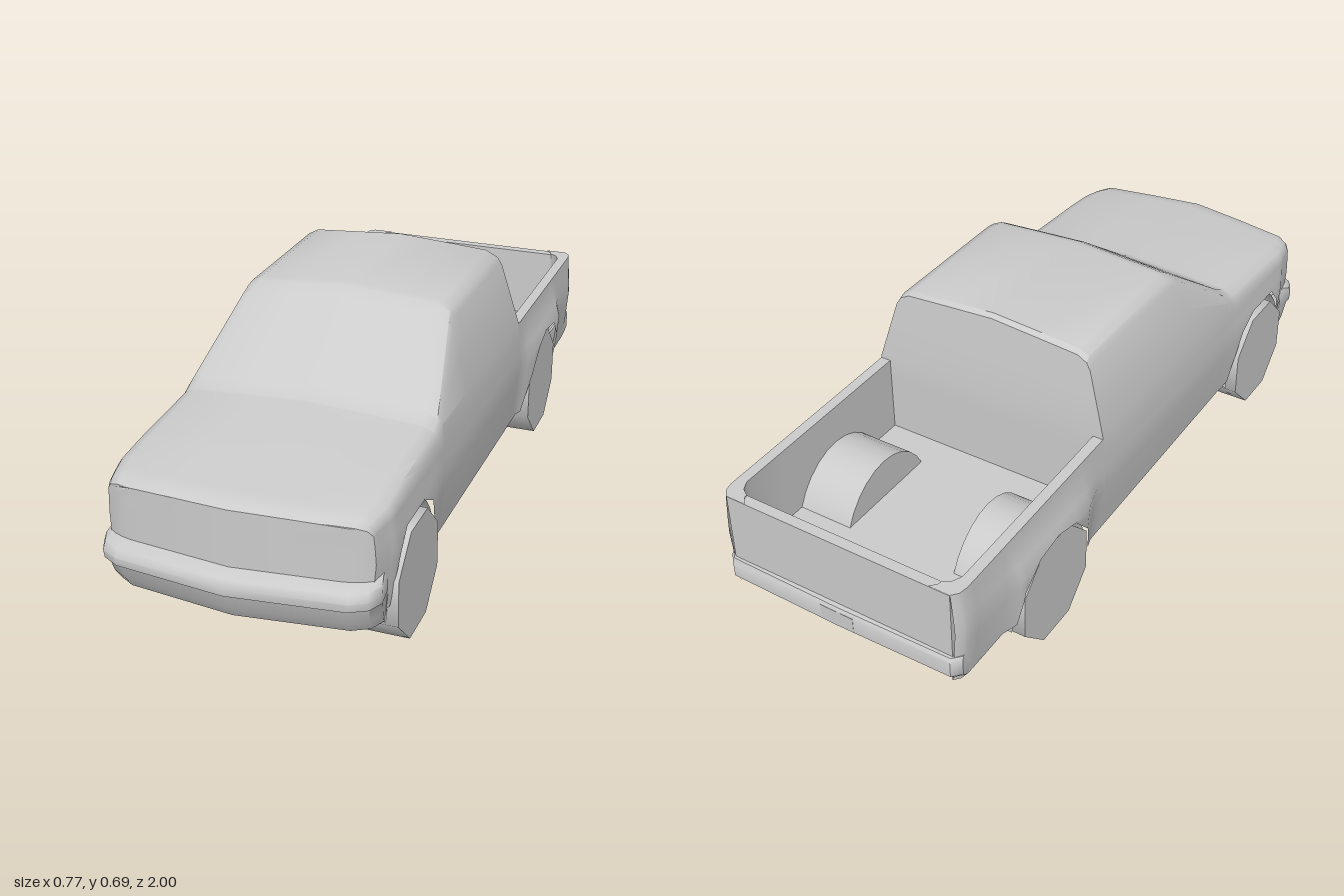
import * as THREE from 'three';
import { toCreasedNormals, mergeVertices } from 'three/addons/utils/BufferGeometryUtils.js';

const material = new THREE.MeshStandardMaterial({ color: 0xcccccc, side: THREE.DoubleSide });

// piecewise linear lookup in a list of [key, value] with rising keys
function lerpTable(table, k) {
  if (k <= table[0][0]) return table[0][1];
  for (let i = 1; i < table.length; i++) {
    const [k0, v0] = table[i - 1], [k1, v1] = table[i];
    if (k <= k1) return v0 + (v1 - v0) * (k - k0) / (k1 - k0);
  }
  return table[table.length - 1][1];
}

// skin through rows of equally many [x, y, z] points
function loft(rows, crease = 0.6) {
  const n = rows[0].length, index = [];
  for (let j = 0; j < rows.length - 1; j++) {
    for (let i = 0; i < n - 1; i++) {
      const a = j * n + i, b = a + 1, c = a + n, d = c + 1;
      index.push(a, c, b, b, c, d);
    }
  }
  const g = new THREE.BufferGeometry();
  g.setAttribute('position', new THREE.Float32BufferAttribute(rows.flat(2), 3));
  g.setIndex(index);
  return toCreasedNormals(mergeVertices(g), crease);
}

const mirror = half => [...half, ...half.slice(0, -1).reverse().map(([x, y, z]) => [-x, y, z])];

// lower edge of the sides, with both wheel arches
const LOWER = [[-0.98, 0.15], [-0.745, 0.15], [-0.725, 0.25], [-0.66, 0.315], [-0.57, 0.325], [-0.49, 0.305],
  [-0.42, 0.23], [-0.38, 0.125], [0.475, 0.138], [0.49, 0.2], [0.53, 0.295], [0.6, 0.333],
  [0.73, 0.332], [0.79, 0.28], [0.82, 0.22], [0.838, 0.15], [0.86, 0.15], [0.88, 0.22], [0.96, 0.22]];
// centre line of roof, windscreen and hood
const UPPER = [[-0.285, 0.682], [-0.273, 0.692], [0.14, 0.692], [0.165, 0.687], [0.195, 0.669], [0.43, 0.503],
  [0.465, 0.484], [0.7, 0.462], [0.9, 0.439], [0.94, 0.433], [0.955, 0.422]];
const WIDTH = [[0.13, 0.348], [0.22, 0.358], [0.31, 0.365], [0.35, 0.363], [0.45, 0.355], [0.64, 0.3]];
const FLARE = [[-0.79, 0], [-0.73, 0.019], [-0.42, 0.019], [-0.35, 0], [0.42, 0], [0.5, 0.004], [0.8, 0.004], [0.86, 0]];
const FLARE_FADE = [[0.32, 1], [0.38, 0]];
const NOSE = [[0, 0], [0.29, 0.033], [0.33, 0.05], [0.37, 0.08]];
const LEVELS = [0, 0.17, 0.22, 0.27, 0.31, 0.35, 0.39, 0.45, 0.55, 0.64];
const FLOOR = 0.215, RIM = 0.442, FRONT = 0.955;

const sideX = (y, z) => lerpTable(WIDTH, y) + lerpTable(FLARE, z) * lerpTable(FLARE_FADE, y);
const clamp = THREE.MathUtils.clamp;

function stations(from, to, ...tables) {
  const all = [from, to, ...tables.flat().map(p => p[0])].filter(z => z <= from && z >= to);
  return [...new Set(all)].sort((a, b) => b - a);
}

// half section of hood and cab, from sill up to the centre line
function cabSection(z) {
  const low = lerpTable(LOWER, z), top = lerpTable(UPPER, z);
  const edge = top - lerpTable([[0.5, 0.018], [0.9, 0.01]], z);
  const shoulder = edge - lerpTable([[0.5, 0.035], [0.9, 0.025]], z);
  const pts = LEVELS.map(l => {
    const y = clamp(l, low, shoulder);
    return [sideX(y, z), y];
  });
  const w = sideX(shoulder, z);
  pts.push([w, shoulder], [w - 0.012, (shoulder + edge) / 2 + 0.003], [w - 0.04, edge], [w * 0.45, (edge + top) / 2], [0, top]);
  const taper = 1 - 0.05 * clamp((z - 0.84) / 0.115, 0, 1);
  return pts.map(([x, y]) => {
    const nose = lerpTable(NOSE, x * taper) * clamp((z - 0.75) / 0.205, 0, 1);
    const rear = z < -0.28 ? 0.025 * clamp((0.692 - y) / 0.242, 0, 1) : 0;
    return [x * taper, y, z - nose - rear];
  });
}

// half section of the bed: outer side, rim, inner side, floor
function bedSection(z) {
  const low = lerpTable(LOWER, z);
  const taper = lerpTable([[-0.982, 0.02], [-0.965, 0.005], [-0.94, 0]], z);
  const pts = LEVELS.filter(l => l < 0.44).concat(RIM).map(l => {
    const y = clamp(l, low, RIM - 0.008 * clamp((-z - 0.31) / 0.65, 0, 1));
    return [sideX(y, z) - taper, y, z];
  });
  const [w, y] = pts[pts.length - 1];
  const inner = w - lerpTable([[-0.953, 0.06], [-0.94, 0.042], [-0.915, 0.03]], z);
  pts.push([inner, y, z], [inner, FLOOR, z], [0, FLOOR, z]);
  return pts;
}

// grille wall following the curved nose
function noseWall(half) {
  const steps = [1, 0.95, 0.88, 0.8, 0.4, 0];
  return loft(half.map(([x, y]) => mirror(steps.map(t => [x * t, y, FRONT - lerpTable(NOSE, x * t)]))));
}

// wall closing the back of the cab down to the bed floor
function backWall(half) {
  return loft(half.map(([x, y, z]) => [-x, 0, x].map(px => [px, Math.max(y, FLOOR), z])));
}

// bumper: plan path of [x, z] swept over levels of [y, inset]; the ends keep their z
function bumper(path, levels, dir) {
  const rows = levels.map(([y, inset]) => {
    const row = mirror(path.map(([x, z]) =>
      [x * (1 - inset * 0.7), y, dir * (z - inset * clamp((z - 0.76) / 0.14, 0, 1))]));
    return dir > 0 ? row : row.reverse();
  });
  return loft(rows, 0.7);
}

export function createModel() {
  const model = new THREE.Group();
  const add = (name, geometry, x = 0, y = 0, z = 0, parent = model) => {
    const mesh = new THREE.Mesh(geometry, material);
    mesh.name = name;
    mesh.position.set(x, y, z);
    parent.add(mesh);
    return mesh;
  };

  // hood, windscreen and cab in one skin
  const cabRows = stations(FRONT, -0.285, LOWER, UPPER, FLARE).map(cabSection);
  add('cabAndHood', loft(cabRows.map(mirror)));
  add('frontFace', noseWall(cabRows[0]));
  add('cabBackWall', backWall(cabRows[cabRows.length - 1]));

  // cargo bed with tailgate
  const bedRows = stations(-0.309, -0.982, LOWER, FLARE, [[-0.915], [-0.94], [-0.953], [-0.965]]).map(bedSection);
  add('cargoBed', loft(bedRows.map(mirror)));
  add('tailgate', new THREE.BoxGeometry(0.67, 0.271, 0.03), 0, 0.296, -0.967);

  // bumpers
  add('frontBumper', bumper([[0.356, 0.835], [0.364, 0.9], [0.345, 0.94], [0.3, 0.965], [0, 1]],
    [[0.128, 0.055], [0.16, 0.034], [0.205, 0.018], [0.212, 0.004], [0.235, 0], [0.255, 0.01], [0.268, 0.035], [0.27, 0.08]], 1));
  add('rearBumper', bumper([[0.348, 0.75], [0.35, 0.8], [0.354, 0.95], [0.357, 0.972], [0.335, 0.995], [0, 1]],
    [[0.121, 0.12], [0.13, 0.08], [0.143, 0.042], [0.16, 0.015], [0.176, 0], [0.222, 0], [0.232, 0.006], [0.235, 0.03]], -1));
  add('rearPlate', new THREE.BoxGeometry(0.1, 0.045, 0.006), 0, 0.2, -0.997);

  // wheels and their inner wells
  const wheel = new THREE.CylinderGeometry(0.165, 0.165, 0.112, 8).rotateY(Math.PI / 8).rotateZ(Math.PI / 2);
  for (const [axle, z, inner, radius, height] of [['front', 0.652, 0.19, 0.185, 0.222], ['rear', -0.568, 0.165, 0.182, 0.209]]) {
    for (const [side, s] of [['Left', 1], ['Right', -1]]) {
      add(axle + side + 'Wheel', wheel, s * 0.316, 0.153, z);
      const well = new THREE.Group();
      well.name = axle + side + 'WheelWell';
      well.position.set(0, 0.12, z);
      well.scale.y = height / radius;
      model.add(well);
      const length = 0.352 - inner;
      const arch = new THREE.CylinderGeometry(radius, radius, length, 14, 1, true, 0, Math.PI).rotateZ(Math.PI / 2);
      add('wellArch', arch, s * (inner + length / 2), 0, 0, well);
      const cap = new THREE.CircleGeometry(radius, 14, 0, Math.PI).rotateY(-s * Math.PI / 2);
      add('wellWall', cap, s * inner, 0, 0, well);
    }
  }
  return model;
}
